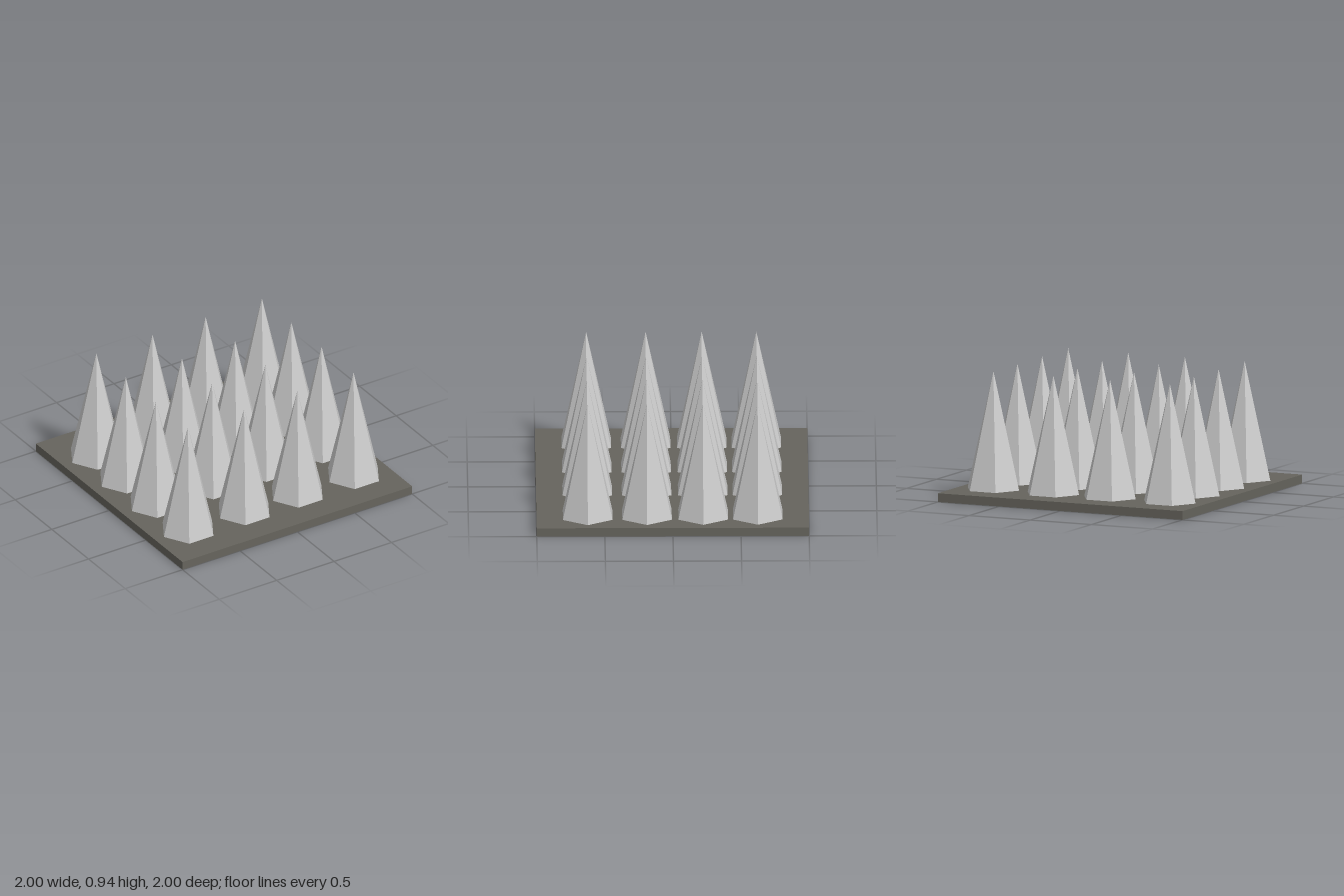
import * as THREE from 'three';

export function createModel() {
  const model = new THREE.Group();
  model.name = 'spikeTrap';

  const slabTop = 0.065;
  const tip = 0.94;
  const height = tip - slabTop;

  // Square base slab
  const slab = new THREE.Mesh(
    new THREE.BoxGeometry(2, slabTop, 2),
    new THREE.MeshStandardMaterial({ color: 0x66645d, flatShading: true })
  );
  slab.name = 'baseSlab';
  slab.position.y = slabTop / 2;
  model.add(slab);

  // Six-sided spikes, corners pointing along x, in four uneven rows and columns
  const spikeGeometry = new THREE.ConeGeometry(0.21, height, 6, 1, false, Math.PI / 2);
  const spikeMaterial = new THREE.MeshStandardMaterial({ color: 0xcccccc, flatShading: true });
  const columns = [-0.713, -0.224, 0.239, 0.729];
  const rows = [-0.624, -0.223, 0.189, 0.625];

  const spikes = new THREE.Group();
  spikes.name = 'spikes';
  for (const z of rows) {
    for (const x of columns) {
      const spike = new THREE.Mesh(spikeGeometry, spikeMaterial);
      spike.name = 'spike';
      spike.position.set(x, slabTop + height / 2, z);
      spikes.add(spike);
    }
  }
  model.add(spikes);

  return model;
}
